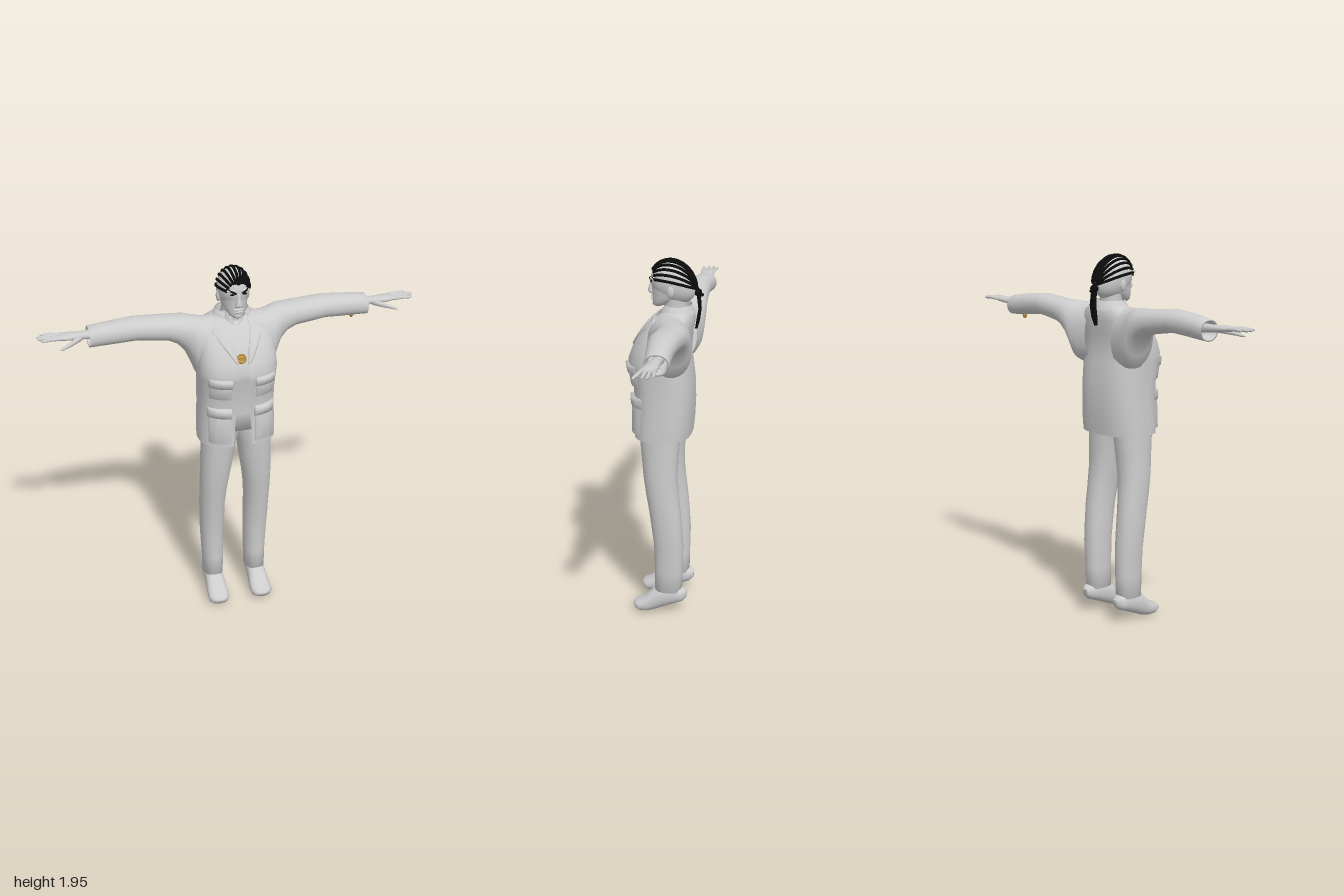
import * as THREE from 'three';

const material = (name, color, side = THREE.FrontSide) =>
  Object.assign(new THREE.MeshStandardMaterial({ color, side }), { name });

function meshGeometry(positions, index) {
  const g = new THREE.BufferGeometry();
  g.setAttribute('position', new THREE.Float32BufferAttribute(positions, 3));
  g.setIndex(index);
  g.computeVertexNormals();
  return g;
}

// Rounded sections along an axis (0 x, 1 y, 2 z). Row: [position, uMin, uMax, vMin, vMax],
// where u and v are the next two axes in turn. gap leaves the u+ side open by that half width.
function loft(axis, rows, { exp = 2, seg = 28, gap = null, caps = true } = {}) {
  const u = (axis + 1) % 3, v = (axis + 2) % 3, pos = [], idx = [];
  const cols = gap ? seg + 1 : seg;
  const round = (t) => Math.sign(t) * Math.abs(t) ** (2 / exp);
  rows.forEach(([p, u0, u1, v0, v1], i) => {
    const a0 = gap ? Math.asin((gap[i] / v1) ** (exp / 2)) : 0;
    for (let j = 0; j < cols; j++) {
      const a = a0 + (2 * Math.PI - 2 * a0) * j / seg, q = [0, 0, 0];
      q[axis] = p;
      q[u] = (u0 + u1) / 2 + (u1 - u0) / 2 * round(Math.cos(a));
      q[v] = (v0 + v1) / 2 + (v1 - v0) / 2 * round(Math.sin(a));
      pos.push(...q);
    }
  });
  for (let i = 0; i < rows.length - 1; i++) for (let j = 0; j < seg; j++) {
    const k = gap ? j + 1 : (j + 1) % cols;
    const a = i * cols + j, b = i * cols + k, c = b + cols, d = a + cols;
    idx.push(a, b, c, a, c, d);
  }
  if (caps && !gap) [0, rows.length - 1].forEach((r) => {
    const [p, u0, u1, v0, v1] = rows[r], q = [0, 0, 0], n = pos.length / 3;
    q[axis] = p; q[u] = (u0 + u1) / 2; q[v] = (v0 + v1) / 2;
    pos.push(...q);
    for (let j = 0; j < seg; j++) {
      const a = r * cols + j, b = r * cols + (j + 1) % cols;
      idx.push(n, ...(r ? [a, b] : [b, a]));
    }
  });
  return meshGeometry(pos, idx);
}

function mirrored(geometry) {
  const g = geometry.clone().scale(-1, 1, 1), ix = g.index.array;
  for (let i = 0; i < ix.length; i += 3) [ix[i], ix[i + 1]] = [ix[i + 1], ix[i]];
  return g;
}

const ball = (x, y, z, rx, ry, rz) =>
  new THREE.SphereGeometry(1, 16, 12).scale(rx, ry, rz).translate(x, y, z);
const tube = (points, r, n = 16) => new THREE.TubeGeometry(
  new THREE.CatmullRomCurve3(points.map((p) => new THREE.Vector3(...p))), n, r, 7);
const sym = (y, z0, z1, x) => [y, z0, z1, -x, x];

// Jacket body sections and half width of the front opening
const torso = [
  sym(1.02, -.14, .16, .205), sym(1.1, -.148, .16, .205), sym(1.2, -.152, .157, .2),
  sym(1.3, -.15, .165, .2), sym(1.4, -.138, .182, .205), sym(1.44, -.13, .19, .207),
  sym(1.5, -.13, .168, .205), sym(1.56, -.135, .137, .2), sym(1.62, -.145, .092, .19),
  sym(1.67, -.143, .04, .15), sym(1.7, -.125, 0, .09)];
const opening = [.05, .046, .038, .032, .028, .026, .026, .036, .052, .064, .06];
const EXP = 2.6;

// Height of the jacket front at x, y
function frontZ(x, y) {
  let i = 0;
  while (i < torso.length - 2 && torso[i + 1][0] < y) i++;
  const t = (y - torso[i][0]) / (torso[i + 1][0] - torso[i][0]);
  const [b, f, , r] = [1, 2, 3, 4].map((k) => THREE.MathUtils.lerp(torso[i][k], torso[i + 1][k], t));
  return (f + b) / 2 + (f - b) / 2 * Math.max(0, 1 - Math.abs(x / r) ** EXP) ** (1 / EXP);
}

// Raised cloth panel laid over the jacket front; row: [y, x0, x1]
function patch(rows, raise) {
  const across = [0, .07, .35, .65, .93, 1], n = across.length, pos = [], idx = [];
  rows.forEach(([y, x0, x1], i) => across.forEach((t, j) => {
    const x = x0 + (x1 - x0) * t;
    const edge = i === 0 || j === 0 || i === rows.length - 1 || j === n - 1;
    pos.push(x, y, frontZ(x, y) + (edge ? -.005 : raise));
    if (i && j) {
      const d = i * n + j, c = d - 1, b = d - n, a = b - 1;
      idx.push(a, b, d, a, d, c);
    }
  }));
  return meshGeometry(pos, idx);
}
const pocket = (y0, y1, x0, x1, raise) =>
  patch([y0, y0 + .008, (y0 + y1) / 2, y1 - .008, y1].map((y) => [y, x0, x1]), raise);

// Scalp point from a unit direction; the back of the skull sits lower
const scalp = (x, y, z, s = 1) =>
  [x * .081 * s, 1.845 + y * .11 * s - .04 * ((1 - z) / 2) ** 2, -.037 + z * .117 * s];

export function createModel() {
  const model = new THREE.Group();
  const grey = material('plainGrey', 0xcccccc, THREE.DoubleSide);
  const black = material('hairBlack', 0x0c0c0c);
  const gold = material('gold', 0xb8892c);
  const add = (name, geometry, mat = grey) => {
    const m = new THREE.Mesh(geometry, mat);
    m.name = name;
    model.add(m);
    return m;
  };
  const pair = (name, geometry, mat) => {
    add(name + 'Left', geometry, mat);
    add(name + 'Right', mirrored(geometry), mat);
  };

  // Trousers and shoes
  pair('trouserLeg', loft(1, [
    [.135, -.11, .04, .066, .175], [.25, -.112, .04, .062, .178], [.4, -.115, .043, .06, .186],
    [.5, -.108, .055, .058, .19], [.6, -.1, .068, .057, .192], [.7, -.088, .085, .049, .193],
    [.8, -.08, .1, .035, .193], [.9, -.083, .11, .018, .19], [1, -.09, .12, .005, .188],
    [1.08, -.092, .123, -.02, .188], [1.15, -.095, .122, -.03, .185]], { exp: 2.2 }));
  pair('shoe', loft(2, [
    [-.137, .102, .112, .135, .15 - .018], [-.132, .1, .144, .095, .14], [-.11, .08, .165, .075, .155],
    [-.06, .074, .17, .055, .165], [0, .07, .173, .03, .16], [.04, .068, .176, .013, .142],
    [.08, .064, .18, .002, .098], [.12, .066, .181, .005, .074], [.145, .08, .168, .018, .062],
    [.157, .105, .14, .035, .05]], { exp: 2.3 }).scale(1, 1, 1));

  // Jacket body over a shirt
  add('jacketBody', loft(1, torso, { exp: EXP, seg: 48, gap: opening }));
  add('shirt', loft(1, torso.slice(1).map(([y, b, f, , x]) => sym(y, b + .02, f - .022, x * .92)), { exp: EXP, seg: 40 }));
  pair('lapel', patch([[1.49, .025, .03], [1.51, .026, .042], [1.56, .035, .08], [1.61, .05, .115],
    [1.64, .058, .134], [1.652, .06, .128], [1.66, .063, .085], [1.69, .06, .078]], .008));
  pair('chestPocket', pocket(1.3, 1.4, .062, .172, .012));
  pair('chestPocketFlap', pocket(1.37, 1.425, .058, .178, .02));
  pair('hipPocket', pocket(1.04, 1.22, .062, .176, .016));
  pair('hipPocketFlap', pocket(1.19, 1.25, .058, .18, .023));
  add('jacketCollar', loft(1, [sym(1.66, -.125, .015, .075), sym(1.715, -.128, .012, .08),
    sym(1.722, -.132, .015, .087), sym(1.675, -.15, .035, .112)], { gap: [.04, .045, .05, .062] }));
  add('shirtCollar', loft(1, [sym(1.65, -.11, .035, .066), sym(1.7, -.108, .018, .064),
    sym(1.72, -.106, .004, .062)], { gap: [.008, .02, .03] }));

  // Sleeves with turned-in cuffs
  pair('sleeve', loft(0, [
    [.1, 1.38, 1.69, -.145, .06], [.16, 1.37, 1.69, -.157, .075], [.2, 1.385, 1.695, -.165, .06],
    [.225, 1.45, 1.698, -.167, .04], [.25, 1.505, 1.7, -.168, .02], [.29, 1.55, 1.7, -.166, .004],
    [.34, 1.575, 1.704, -.16, 0], [.42, 1.588, 1.711, -.153, .002], [.5, 1.6, 1.716, -.15, .002],
    [.6, 1.592, 1.708, -.143, -.012], [.68, 1.586, 1.698, -.147, -.022], [.74, 1.582, 1.688, -.15, -.028],
    [.738, 1.59, 1.68, -.142, -.036], [.68, 1.6, 1.685, -.138, -.04]], { exp: 2.2, caps: false }));

  // Hands
  pair('palm', loft(0, [
    [.66, 1.618, 1.668, -.115, -.06], [.75, 1.627, 1.667, -.112, -.062], [.79, 1.632, 1.668, -.115, -.055],
    [.84, 1.638, 1.67, -.118, -.042], [.88, 1.644, 1.668, -.118, -.042], [.9, 1.65, 1.664, -.112, -.048]],
    { exp: 2.3, seg: 20 }));
  [[-.109, -.12, .972], [-.09, -.096, .995], [-.07, -.071, .995], [-.051, -.043, .982]].forEach(([z0, z1, tip], i) => {
    const mid = (z0 + z1) / 2;
    pair('finger' + (i + 1), loft(0, [
      [.87, 1.648, 1.666, z0 - .009, z0 + .009], [.93, 1.652, 1.669, mid - .009, mid + .009],
      [tip - .01, 1.652, 1.666, z1 - .007, z1 + .007], [tip + .004, 1.657, 1.662, z1 - .003, z1 + .003]], { seg: 10 }));
  });
  pair('thumb', loft(0, [[.775, 1.628, 1.658, -.085, -.055], [.81, 1.622, 1.652, -.062, -.032],
    [.85, 1.617, 1.638, -.035, -.015], [.885, 1.611, 1.626, -.017, -.002], [.895, 1.614, 1.619, -.011, -.004]], { seg: 12 }));

  // Head and face
  add('neck', loft(1, [sym(1.62, -.115, .02, .065), sym(1.7, -.108, .012, .055),
    sym(1.74, -.11, .012, .055), sym(1.79, -.115, .02, .058)]));
  add('head', loft(1, [sym(1.708, .02, .062, .022), sym(1.718, -.005, .068, .038), sym(1.735, -.045, .071, .052),
    sym(1.76, -.09, .072, .062), sym(1.785, -.12, .073, .068), sym(1.82, -.14, .075, .074),
    sym(1.845, -.142, .079, .077), sym(1.87, -.135, .075, .077), sym(1.9, -.11, .062, .068), sym(1.93, -.07, .03, .045)]));
  const skull = new THREE.SphereGeometry(1, 32, 24), sp = skull.attributes.position;
  for (let i = 0; i < sp.count; i++) sp.setXYZ(i, ...scalp(sp.getX(i), sp.getY(i), sp.getZ(i)));
  skull.computeVertexNormals();
  add('scalp', skull);
  add('nose', loft(1, [sym(1.77, .06, .076, .014), sym(1.778, .06, .093, .021), sym(1.786, .06, .097, .02),
    sym(1.805, .06, .091, .013), sym(1.83, .06, .083, .01), sym(1.85, .06, .08, .012)], { seg: 14 }));
  add('upperLip', ball(0, 1.757, .066, .028, .007, .014));
  add('lowerLip', ball(0, 1.745, .065, .024, .007, .014));
  add('chin', ball(0, 1.72, .054, .022, .015, .018));
  pair('ear', ball(.077, 1.8, -.035, .011, .031, .02));
  pair('browRidge', ball(.033, 1.861, .066, .028, .008, .012));
  pair('eyebrow', tube([[.015, 1.848, .081], [.035, 1.86, .078], [.058, 1.868, .054]], .005), black);
  pair('eye', ball(.032, 1.842, .0715, .012, .005, .006), black);

  // Braids running from the hairline to the tie at the back
  for (let k = -5; k <= 5; k++) {
    const phi = k * .285, start = .48 + Math.abs(k) * .06, points = [];
    for (let i = 0; i <= 10; i++) {
      const t = start + (3.02 - start) * i / 10;
      points.push(scalp(Math.sin(phi) * Math.sin(t), Math.cos(phi) * Math.sin(t), Math.cos(t), 1.025));
    }
    add('braid' + (k + 6), tube(points, .0075, 30), black);
    add('braidTip' + (k + 6), ball(...points[0], .008, .008, .008), black);
  }
  add('hairTie', ball(0, 1.785, -.165, .024, .02, .02), black);
  add('hairTieKnot', ball(0, 1.773, -.183, .014, .009, .012), black);
  add('ponytail', loft(1, [sym(1.595, -.163, -.15, .01), sym(1.64, -.175, -.157, .022), sym(1.7, -.183, -.167, .024),
    sym(1.77, -.178, -.158, .02), sym(1.815, -.165, -.145, .014)], { seg: 16 }), black);

  // Gold medallion and bracelet charm
  const medallion = new THREE.Group();
  medallion.name = 'medallion';
  const rim = new THREE.Mesh(new THREE.TorusGeometry(.021, .005, 8, 24), gold);
  const disc = new THREE.Mesh(new THREE.CylinderGeometry(.013, .013, .008, 20).rotateX(Math.PI / 2), gold);
  rim.name = 'medallionRim';
  disc.name = 'medallionDisc';
  medallion.add(rim, disc);
  medallion.position.set(-.008, 1.525, .155);
  medallion.rotation.x = -.4;
  model.add(medallion);
  add('braceletCharm', ball(.665, 1.583, -.085, .01, .018, .014), gold);
  return model;
}
